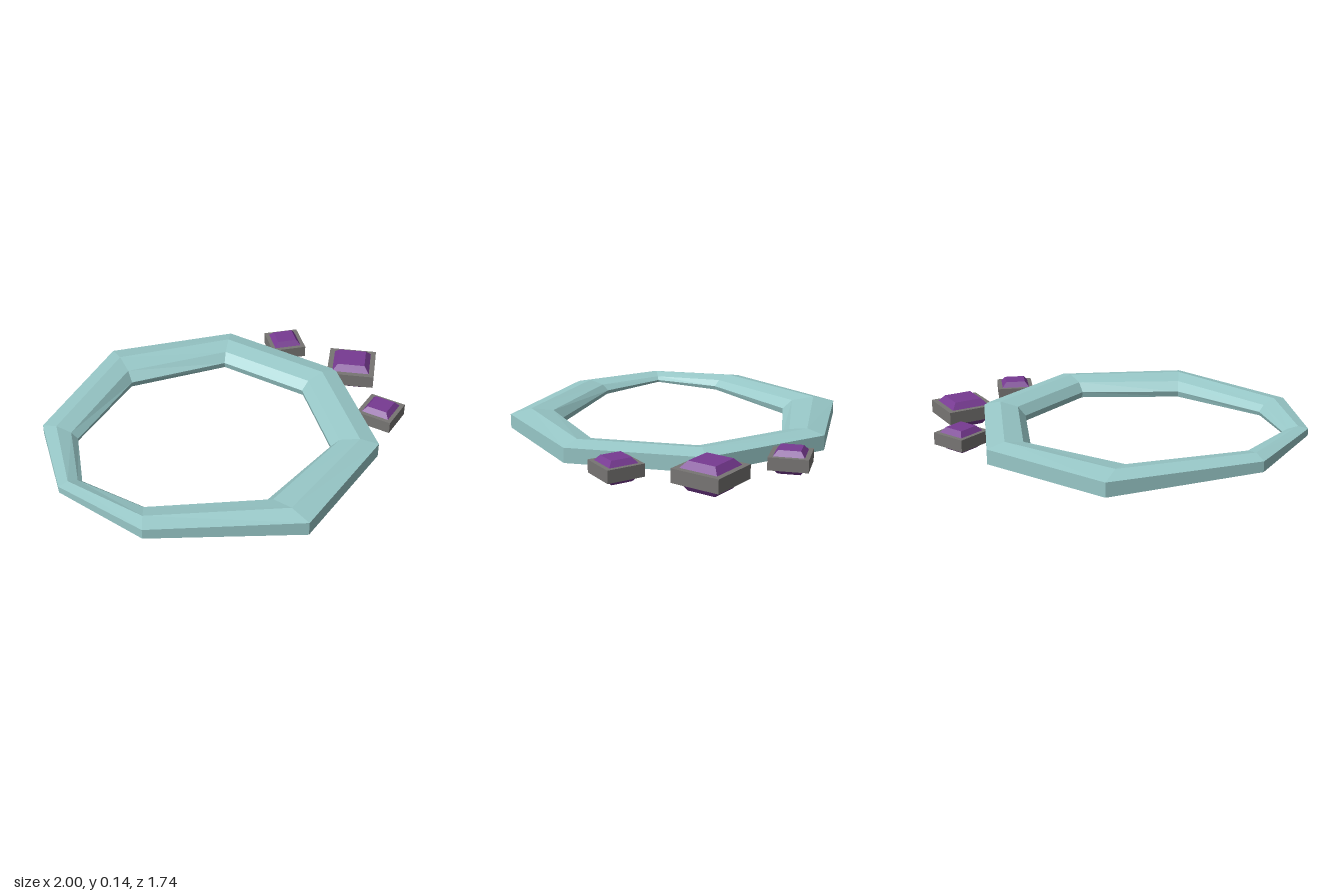
import * as THREE from 'three';

const paint = (color) => new THREE.MeshStandardMaterial({ color, flatShading: true });

// Eight-cornered band: a faceted section swept round uneven, mirrored stations
function bandGeometry() {
  // outer x, outer z, inner x, inner z, underside height, outer wall top
  const half = [
    [0.70, 0, 0.47, 0, 0.015, 0.11],
    [0.45, 0.63, 0.285, 0.46, 0.015, 0.11],
    [-0.19, 0.872, -0.235, 0.60, 0.015, 0.107],
    [-0.835, 0.475, -0.725, 0.315, 0.042, 0.115],
    [-1.0, 0, -0.875, 0, 0.065, 0.12],
  ];
  const mirrored = half.slice(1, -1).reverse().map(([ox, oz, ix, iz, b, h]) => [ox, -oz, ix, -iz, b, h]);
  const stations = [...half, ...mirrored];

  const positions = [];
  const index = [];
  const count = 7;
  stations.forEach(([ox, oz, ix, iz, base, wallTop], i) => {
    // [fraction from outer to inner edge, height]
    const section = [
      [0, base + 0.02], [0, wallTop], [0.4, 0.13], [0.82, 0.11],
      [1, base + (0.13 - base) * 0.42], [0.96, base + 0.015], [0.4, base],
    ];
    const next = (i + 1) % stations.length;
    section.forEach(([t, y], j) => {
      positions.push(ox + (ix - ox) * t, y, oz + (iz - oz) * t);
      const k = (j + 1) % count;
      const a = i * count + j, b = i * count + k, c = next * count + k, d = next * count + j;
      index.push(a, b, c, a, c, d);
    });
  });
  const geometry = new THREE.BufferGeometry();
  geometry.setAttribute('position', new THREE.Float32BufferAttribute(positions, 3));
  geometry.setIndex(index);
  const flat = geometry.toNonIndexed();
  flat.computeVertexNormals();
  return flat;
}

// Square setting with a bevelled gem showing above and below it
function jewel(name, side, gemSide, tableSide, boxY, gemY, materials) {
  const group = new THREE.Group();
  group.name = name;

  const [boxLow, boxHigh] = boxY;
  const setting = new THREE.Mesh(new THREE.BoxGeometry(side, boxHigh - boxLow, side), materials.setting);
  setting.position.y = (boxLow + boxHigh) / 2;
  setting.name = 'setting';

  const [gemLow, gemHigh] = gemY;
  const table = tableSide * Math.SQRT1_2, girdle = gemSide * Math.SQRT1_2;
  const profile = [
    [0, gemLow], [table, gemLow], [girdle, boxLow], [girdle, boxHigh], [table, gemHigh], [0, gemHigh],
  ].map(([r, y]) => new THREE.Vector2(r, y));
  const gem = new THREE.Mesh(new THREE.LatheGeometry(profile, 4).rotateY(Math.PI / 4), materials.gem);
  gem.name = 'gem';

  group.add(setting, gem);
  return group;
}

export function createModel() {
  const model = new THREE.Group();
  model.name = 'jewelledRing';
  const materials = { setting: paint(0x777573), gem: paint(0x773a92) };

  const band = new THREE.Mesh(bandGeometry(), paint(0x98c8c8));
  band.name = 'band';
  model.add(band);

  // Large central jewel, set cornerwise
  const centre = jewel('centreJewel', 0.255, 0.2, 0.145, [0.04, 0.108], [0, 0.14], materials);
  centre.position.x = 0.82;
  centre.rotation.y = Math.PI / 4;
  model.add(centre);

  // Small jewels on either side
  for (const s of [1, -1]) {
    const small = jewel(s > 0 ? 'frontJewel' : 'backJewel', 0.19, 0.147, 0.105, [0.04, 0.102], [0.014, 0.128], materials);
    small.position.set(0.668, 0, s * 0.405);
    small.rotation.y = s * 0.4;
    model.add(small);
  }
  return model;
}
